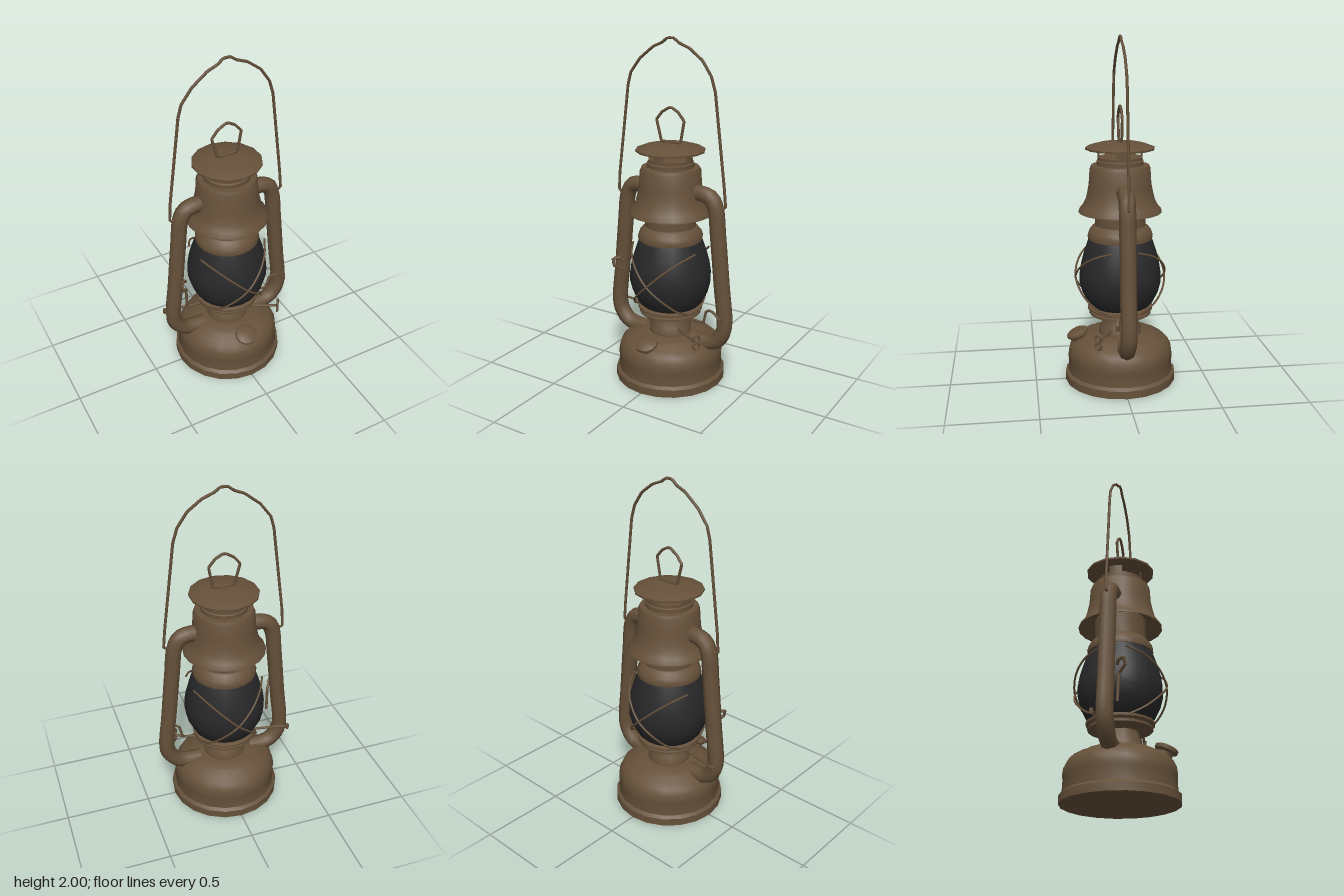
import * as THREE from 'three';
import { toCreasedNormals } from 'three/addons/utils/BufferGeometryUtils.js';

const agedBrass = new THREE.MeshStandardMaterial({ color: 0x66513a, side: THREE.DoubleSide });
agedBrass.name = 'agedBrass';
const smokedGlass = new THREE.MeshStandardMaterial({ color: 0x28282a, side: THREE.DoubleSide });
smokedGlass.name = 'smokedGlass';

export function createModel() {
  const lantern = new THREE.Group();
  lantern.name = 'lantern';

  const add = (name, geometry, material = agedBrass, parent = lantern) => {
    const mesh = new THREE.Mesh(geometry, material);
    mesh.name = name;
    parent.add(mesh);
    return mesh;
  };
  const vectors = (list) => list.map((p) => new THREE.Vector3(p[0], p[1], p[2] ?? 0));

  // Turned part from [radius, height] pairs, bottom to top
  const turned = (name, profile, sides = 20, material = agedBrass, parent = lantern) => {
    const points = profile.map(([r, y]) => new THREE.Vector2(r, y));
    return add(name, toCreasedNormals(new THREE.LatheGeometry(points, sides), 0.7), material, parent);
  };
  // Bent wire with straight runs between its points
  const wire = (name, list, radius = 0.008, closed = false) => {
    const path = new THREE.CurvePath();
    const pts = vectors(list);
    if (closed) pts.push(pts[0].clone());
    for (let i = 1; i < pts.length; i++) path.add(new THREE.LineCurve3(pts[i - 1], pts[i]));
    return add(name, new THREE.TubeGeometry(path, pts.length * 8, radius, 6, closed));
  };
  // Smoothly curved wire or pipe
  const bent = (name, list, radius, segments = 24, sides = 6, closed = false) =>
    add(name, new THREE.TubeGeometry(
      new THREE.CatmullRomCurve3(vectors(list), closed, 'centripetal'), segments, radius, sides, closed));

  // Fuel tank with a hollow underside
  turned('fuelTank', [
    [0, 0.03], [0.2, 0.025], [0.31, 0.005], [0.325, 0], [0.325, 0.045], [0.308, 0.06],
    [0.305, 0.13], [0.309, 0.15], [0.303, 0.19], [0.287, 0.225], [0.26, 0.25],
    [0.215, 0.268], [0.2, 0.28], [0.12, 0.285], [0, 0.285],
  ]);

  // Burner cone and the gallery that holds the globe
  turned('burner', [[0.125, 0.28], [0.125, 0.31], [0.112, 0.33], [0.098, 0.4], [0.098, 0.42]], 16);
  turned('gallery', [
    [0.09, 0.39], [0.165, 0.4], [0.18, 0.405], [0.18, 0.418], [0.168, 0.423],
    [0.172, 0.43], [0.19, 0.433], [0.19, 0.447], [0.17, 0.455], [0.1, 0.455],
  ]);

  // Globe
  turned('globe', [
    [0.165, 0.45], [0.19, 0.475], [0.222, 0.54], [0.237, 0.6], [0.237, 0.65],
    [0.228, 0.71], [0.212, 0.77], [0.19, 0.835], [0.18, 0.86],
  ], 20, smokedGlass);

  // Chimney collar and flared hood
  turned('chimneyCollar', [
    [0.15, 0.855], [0.186, 0.855], [0.188, 0.875], [0.18, 0.9], [0.16, 0.925], [0.146, 0.935], [0.146, 1.06],
  ]);
  turned('hood', [
    [0.14, 1.07], [0.19, 1.06], [0.232, 1.015], [0.24, 1.012], [0.238, 1.022], [0.218, 1.045],
    [0.2, 1.08], [0.19, 1.12], [0.18, 1.17], [0.174, 1.26], [0.165, 1.28], [0.1, 1.285],
  ]);

  // Vent: lower ring, four posts with openings between, and a domed cap
  const vent = new THREE.Group();
  vent.name = 'vent';
  lantern.add(vent);
  turned('ventRing', [[0.135, 1.27], [0.135, 1.305], [0.127, 1.31], [0.127, 1.326], [0, 1.326]], 16, agedBrass, vent);
  for (let i = 0; i < 4; i++) {
    const post = new THREE.CylinderGeometry(0.127, 0.127, 0.045, 3, 1, true, i * Math.PI / 2 - 0.29, 0.58);
    add('ventPost', post, agedBrass, vent).position.y = 1.346;
  }
  turned('ventCap', [
    [0, 1.365], [0.127, 1.365], [0.14, 1.37], [0.197, 1.37], [0.198, 1.38],
    [0.165, 1.393], [0.12, 1.405], [0.06, 1.412], [0, 1.414],
  ], 14, agedBrass, vent);

  // Lifting ring on the cap
  wire('liftingRing', [[-0.06, 1.42], [-0.092, 1.54], [-0.055, 1.585], [-0.01, 1.612], [0.01, 1.612],
    [0.05, 1.59], [0.088, 1.545], [0.065, 1.42]], 0.008, true);
  add('ringBracket', new THREE.BoxGeometry(0.075, 0.014, 0.022)).position.y = 1.416;

  // Carrying handle
  wire('carryingHandle', [
    [-0.335, 1.09], [-0.357, 1.09], [-0.35, 1.2], [-0.282, 1.72], [-0.262, 1.79], [-0.2, 1.87], [-0.11, 1.94],
    [-0.055, 1.962], [-0.02, 1.99], [0.02, 1.99], [0.055, 1.965], [0.12, 1.94], [0.2, 1.88], [0.255, 1.8],
    [0.28, 1.72], [0.345, 1.2], [0.356, 1.085], [0.33, 1.085],
  ], 0.008);

  // Side air tubes
  for (const s of [-1, 1]) {
    bent('sideTube', [
      [0.14, 1.15], [0.22, 1.15], [0.265, 1.132], [0.293, 1.08], [0.312, 0.92], [0.342, 0.62], [0.364, 0.41],
      [0.355, 0.345], [0.315, 0.285], [0.27, 0.262], [0.16, 0.255],
    ].map(([x, y]) => [s * x, y]), 0.047, 40, 8);
  }

  // Crossed guard wires, front and back
  for (const face of [-1, 1]) {
    for (const s of [-1, 1]) {
      bent('globeGuardWire', [
        [-0.21, 0.815, 0.075], [-0.16, 0.78, 0.165], [-0.09, 0.72, 0.232], [0, 0.635, 0.26],
        [0.09, 0.55, 0.228], [0.145, 0.48, 0.16], [0.165, 0.44, 0.08],
      ].map(([x, y, z]) => [s * x, y, face * z]), 0.006, 24, 5);
    }
  }

  // Globe lifting lever
  wire('globeLever', [
    [-0.4, 0.39, -0.062], [-0.32, 0.393, -0.045], [0.25, 0.395, 0.045], [0.27, 0.475, 0.05],
    [0.3, 0.49, 0.055], [0.335, 0.475, 0.06], [0.37, 0.44, 0.062],
  ], 0.008);
  add('leverTip', new THREE.CylinderGeometry(0.011, 0.011, 0.03, 6)).position.set(0.367, 0.44, 0.062);
  add('leverTip', new THREE.CylinderGeometry(0.011, 0.011, 0.03, 6)).position.set(-0.392, 0.39, -0.062);

  // Wire latch beside the right tube
  wire('sideLatch', [
    [-0.295, 0.47, 0.05], [-0.302, 0.62, 0.06], [-0.335, 0.65, 0.1], [-0.345, 0.69, 0.095],
    [-0.315, 0.69, 0.06], [-0.298, 0.67, 0.05],
  ], 0.009);

  // Wick adjuster rod with a looped key
  wire('wickRod', [[0.07, 0.325, 0.05], [0.27, 0.325, 0.16]], 0.008);
  const key = new THREE.Group();
  key.name = 'wickKey';
  key.position.set(0.27, 0.325, 0.16);
  key.rotation.y = Math.PI / 3.4;
  lantern.add(key);
  for (const s of [-1, 1]) {
    add('wickKeyLoop', new THREE.TorusGeometry(0.02, 0.007, 5, 10), agedBrass, key).position.y = s * 0.022;
  }

  // Tilted filler neck and cap
  const filler = new THREE.Group();
  filler.name = 'fuelFiller';
  filler.position.set(-0.005, 0.245, 0.235);
  filler.rotation.x = 0.4;
  lantern.add(filler);
  turned('fillerNeck', [[0.045, -0.03], [0.045, 0.03]], 12, agedBrass, filler);
  turned('fillerCap', [[0, 0.025], [0.055, 0.025], [0.066, 0.035], [0.066, 0.05], [0.05, 0.06], [0, 0.063]],
    12, agedBrass, filler);

  return lantern;
}
